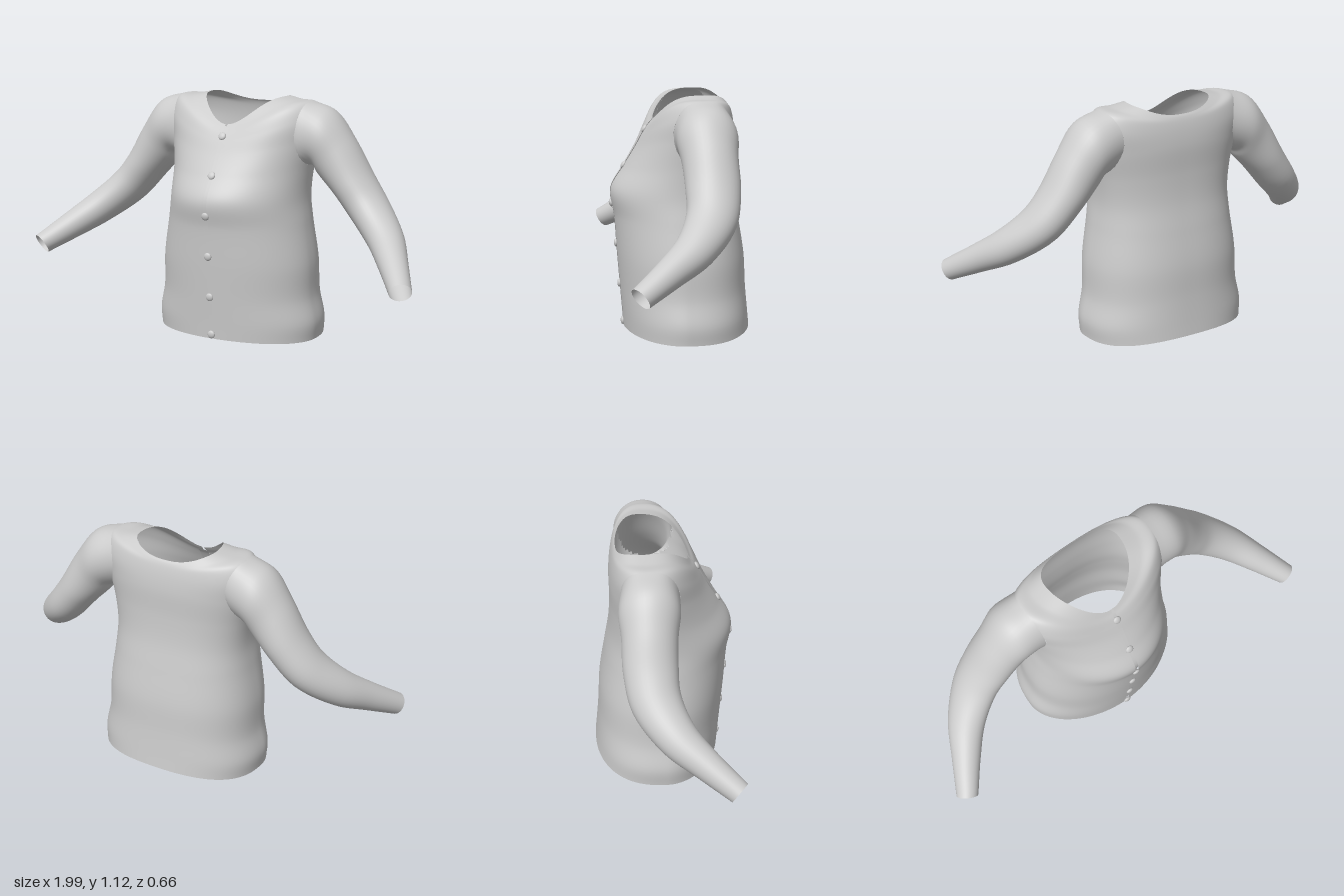
import * as THREE from 'three';

const material = new THREE.MeshStandardMaterial({ color: 0xcccccc, side: THREE.DoubleSide });

// Skin a grid of points rows[i][j], leaving out the cells that isHole picks
function skin(rows, closed, isHole = () => false) {
  const n = rows[0].length, index = [];
  for (let i = 0; i < rows.length - 1; i++) {
    for (let j = 0; j < (closed ? n : n - 1); j++) {
      if (isHole(i, j)) continue;
      const k = (j + 1) % n;
      const a = i * n + j, b = i * n + k, c = a + n, d = b + n;
      index.push(a, b, d, a, d, c);
    }
  }
  const geo = new THREE.BufferGeometry().setFromPoints(rows.flat());
  geo.setIndex(index);
  geo.computeVertexNormals();
  return geo;
}

// Torso rings: half width, front z, side z, back z, then front / side / back height
const RINGS = [
  [0.405, 0.265, 0, -0.325, 0.01, 0.0, 0.03],
  [0.41, 0.27, 0, -0.318, 0.08, 0.08, 0.1],
  [0.385, 0.28, 0, -0.308, 0.2, 0.2, 0.22],
  [0.378, 0.293, 0, -0.3, 0.36, 0.36, 0.37],
  [0.35, 0.306, -0.01, -0.275, 0.54, 0.54, 0.53],
  [0.336, 0.323, -0.03, -0.252, 0.67, 0.66, 0.67],
  [0.345, 0.26, -0.05, -0.245, 0.78, 0.79, 0.8],
  [0.37, 0.205, -0.065, -0.247, 0.87, 0.92, 0.93],
  [0.385, 0.172, -0.072, -0.24, 0.93, 1.03, 1.0],
  [0.35, 0.15, -0.075, -0.23, 0.965, 1.1, 1.045],
  [0.27, 0.133, -0.085, -0.222, 0.985, 1.108, 1.065],
  [0.2, 0.122, -0.1, -0.215, 1.0, 1.12, 1.075],
];
const LAST = RINGS.length - 1;

function ringPoint([w, front, side, back, yFront, ySide, yBack], t) {
  const s = Math.sin(t), c = Math.cos(t), m = Math.abs(c);
  const power = c > 0 ? 1.04 : 0.83; // boxier across the back
  const x = w * Math.sign(s) * Math.pow(Math.abs(s), power);
  const z = side + ((c > 0 ? front : back) - side) * Math.pow(m, power);
  const y = ySide + ((c > 0 ? yFront : yBack) - ySide) * Math.pow(m, c > 0 ? 3.4 : 2.4);
  return new THREE.Vector3(x, y, z);
}

// Vertical line over the torso at angle t from the front
const torsoLine = t => new THREE.CatmullRomCurve3(RINGS.map(r => ringPoint(r, t)));

// Armhole: an oval in ring number and angle around the torso side
const HOLE = { ring: 7.7, height: 1.5, front: 0.57, back: 0.75 };

// Body open along the front by a narrow slit, with two armholes
function torsoGeometry() {
  const around = 128, up = 99, slit = 0.028, rows = [];
  const angle = j => slit + (j / around) * (Math.PI - slit) * 2;
  const columns = Array.from({ length: around + 1 }, (_, j) => torsoLine(angle(j)));
  for (let i = 0; i <= up; i++) rows.push(columns.map(c => c.getPoint(i / up)));
  return skin(rows, false, (i, j) => {
    const t = angle(j + 0.5);
    const offset = Math.min(t, Math.PI * 2 - t) - Math.PI / 2;
    const across = offset / (offset < 0 ? HOLE.front : HOLE.back);
    const along = ((i + 0.5) / up * LAST - HOLE.ring) / HOLE.height;
    return across * across + along * along < 0.94;
  });
}

// Sleeve rings: upper edge x, y, lower edge x, y, centre z, radius front to back
const ARM = [
  [0.45, 1.07, 0.368, 0.81, -0.075, 0.138],
  [0.55, 0.945, 0.39, 0.775, -0.077, 0.126],
  [0.643, 0.79, 0.472, 0.69, -0.077, 0.122],
  [0.722, 0.685, 0.58, 0.572, -0.055, 0.113],
  [0.823, 0.58, 0.717, 0.46, 0.035, 0.09],
  [0.903, 0.49, 0.817, 0.39, 0.155, 0.068],
  [0.988, 0.393, 0.912, 0.327, 0.285, 0.052],
];

// Sleeve lofted from the armhole edge through the sleeve rings to the open cuff
function sleeveGeometry(mirror) {
  const around = 36, up = 42;
  const centres = ARM.map(s => new THREE.Vector3((s[0] + s[2]) / 2, (s[1] + s[3]) / 2, s[4]));
  const columns = [];
  for (let j = 0; j < around; j++) {
    const q = (mirror * j / around) * Math.PI * 2, c = Math.cos(q), s = Math.sin(q);
    const t = Math.PI / 2 - (s > 0 ? HOLE.front : HOLE.back) * s;
    const points = [torsoLine(t).getPoint((HOLE.ring + HOLE.height * c) / LAST)];
    ARM.forEach((ring, k) => {
      const along = centres[Math.min(k + 1, ARM.length - 1)].clone().sub(centres[Math.max(k - 1, 0)]);
      const a = new THREE.Vector3(ring[0] - ring[2], ring[1] - ring[3], 0).multiplyScalar(0.5);
      const b = along.cross(a).setLength(ring[5]);
      points.push(centres[k].clone().addScaledVector(a, c).addScaledVector(b, s));
    });
    points.forEach(p => { p.x *= mirror; });
    columns.push(new THREE.CatmullRomCurve3(points));
  }
  const rows = [];
  for (let i = 0; i <= up; i++) rows.push(columns.map(c => c.getPoint(i / up)));
  return skin(rows, true);
}

export function createModel() {
  const model = new THREE.Group();
  model.name = 'cardigan';
  const add = (geometry, name) => {
    const mesh = new THREE.Mesh(geometry, material);
    mesh.name = name;
    model.add(mesh);
    return mesh;
  };

  add(torsoGeometry(), 'body');
  add(sleeveGeometry(1), 'leftSleeve');
  add(sleeveGeometry(-1), 'rightSleeve');

  // Underlap strip behind the front slit, stopping short of the neck
  const samples = torsoLine(0).getPoints(400);
  const strip = samples.slice(0, 380).filter((p, i) => i % 5 === 0);
  add(skin(strip.map(p => [-0.025, 0.025].map(x => new THREE.Vector3(x, p.y, p.z - 0.012))), false), 'placket');

  // Flattened buttons following the slope of the front opening
  for (const y of [0.03, 0.21, 0.405, 0.6, 0.78, 0.95]) {
    const i = samples.findIndex(p => p.y >= y);
    const slope = samples[i + 1].clone().sub(samples[i - 1]);
    const button = add(new THREE.SphereGeometry(0.019, 16, 10), 'button');
    button.scale.z = 0.5;
    button.rotation.x = Math.atan2(slope.z, slope.y);
    button.position.copy(samples[i]);
    button.position.z += 0.003;
  }
  return model;
}
